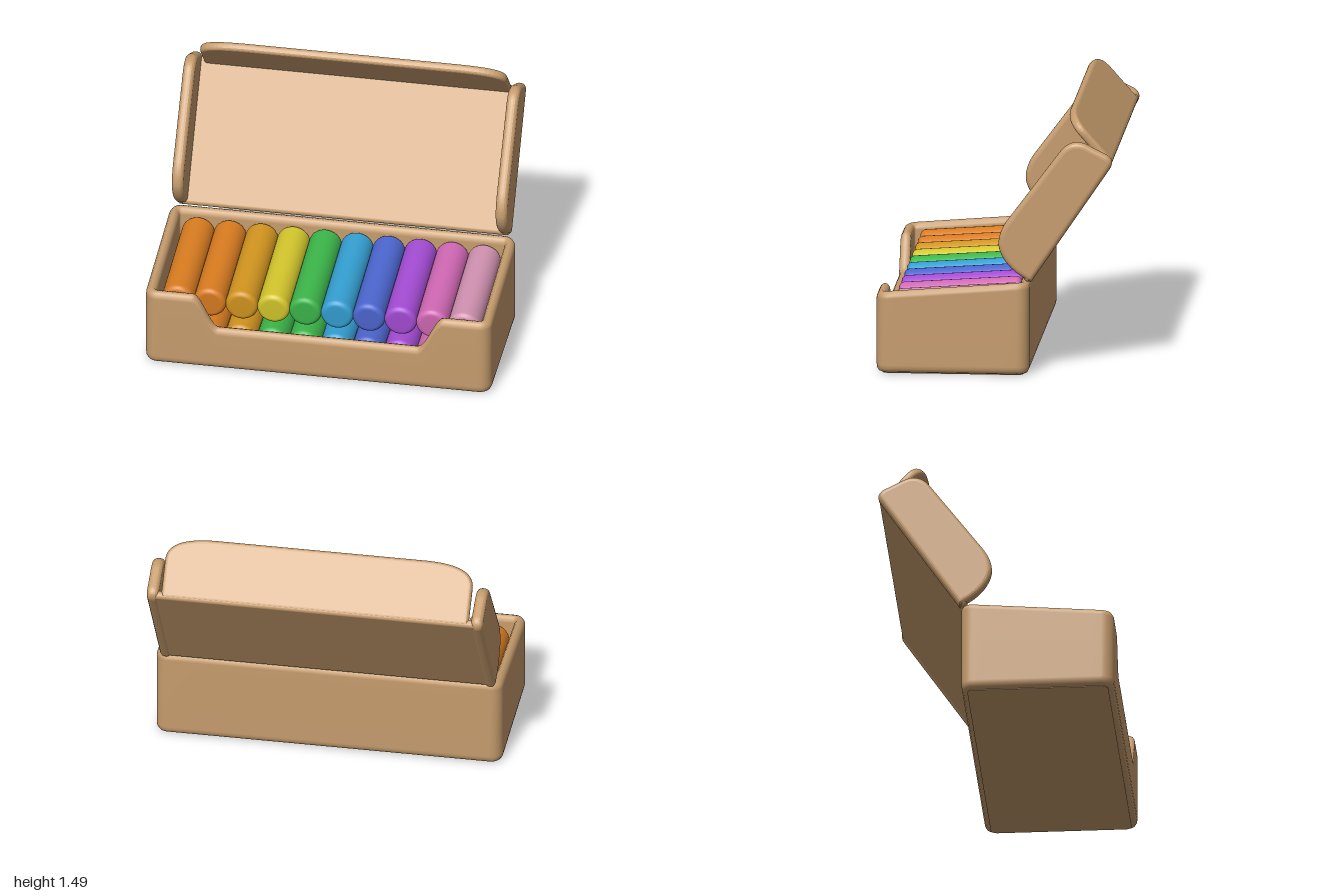
import * as THREE from 'three';
import { RoundedBoxGeometry } from 'three/addons/geometries/RoundedBoxGeometry.js';

const material = (name, color) => {
  const m = new THREE.MeshStandardMaterial({ color });
  m.name = name;
  return m;
};

const X = 0.998, Z0 = -0.2, Z1 = 0.67, R = 0.07;

// Rounded rectangle outline of the tray, counter-clockwise seen from below, as [x, z]
function outline(inset) {
  const r = R - inset, cx = X - R, points = [];
  const corners = [[cx, Z1 - R, 0], [-cx, Z1 - R, 1], [-cx, Z0 + R, 2], [cx, Z0 + R, 3]];
  corners.forEach(([x, z, q], i) => {
    const arc = (a) => [Math.cos(a) * r, Math.sin(a) * r];
    for (let k = 0; k <= 6; k++) {
      const [dx, dz] = arc((q + k / 6) * Math.PI / 2);
      points.push([x + dx, z + dz]);
    }
    // straight run to the next corner, dense enough for the front cut-out
    const [nx, nz] = corners[(i + 1) % 4];
    const [dx, dz] = arc((q + 1) * Math.PI / 2);
    const steps = i === 0 ? 120 : 12;
    for (let k = 1; k < steps; k++) {
      const t = k / steps;
      points.push([x + (nx - x) * t + dx, z + (nz - z) * t + dz]);
    }
  });
  return points;
}

// Rim height: slopes up to the back, with a dip in the front wall
function rimHeight(x, z) {
  const y = 0.47 + 0.07 * (Z1 - z) / (Z1 - Z0);
  if (z < 0.55) return y;
  return 0.268 + (y - 0.268) * THREE.MathUtils.smoothstep(Math.abs(x), 0.575, 0.725);
}

// Wall section swept round the outline: [inset, y, measured from rim]
function trayWalls() {
  const section = [[0.035, 0.003, 0], [0.012, 0.012, 0], [0.002, 0.03, 0], [0, 0.05, 0], [0, -0.04, 1],
    [0.002, -0.025, 1], [0.012, -0.008, 1], [0.03, 0, 1], [0.048, -0.008, 1], [0.058, -0.025, 1],
    [0.06, -0.04, 1], [0.06, 0.03, 0]];
  const pos = [], index = [];
  let n = 0;
  section.forEach(([inset, y, fromRim]) => {
    const ring = outline(inset);
    n = ring.length;
    ring.forEach(([x, z]) => pos.push(x, fromRim ? rimHeight(x, z) + y : y, z));
  });
  for (let s = 0; s < section.length - 1; s++) {
    for (let i = 0; i < n; i++) {
      const j = (i + 1) % n, a = s * n + i, b = s * n + j;
      index.push(a, a + n, b, b, a + n, b + n);
    }
  }
  const g = new THREE.BufferGeometry();
  g.setAttribute('position', new THREE.Float32BufferAttribute(pos, 3));
  g.setIndex(index);
  g.computeVertexNormals();
  return g;
}

// Bar with softened ends, axis along z, centred
function barGeometry(radius, length) {
  const h = length / 2, f = 0.03, profile = [new THREE.Vector2(0, -h)];
  for (const end of [-1, 1]) {
    for (let k = 0; k <= 5; k++) {
      const a = (end < 0 ? k : 5 - k) / 5 * Math.PI / 2;
      profile.push(new THREE.Vector2(radius - f + Math.sin(a) * f, end * (h - f + Math.cos(a) * f)));
    }
  }
  profile.push(new THREE.Vector2(0, h));
  return new THREE.LatheGeometry(profile, 32).rotateX(Math.PI / 2);
}

// Plate with rounded edges; the shape is the final outline
function plate(shape, thickness, bevel) {
  return new THREE.ExtrudeGeometry(shape, {
    depth: thickness - 2 * bevel, bevelThickness: bevel, bevelSize: bevel,
    bevelOffset: -bevel, bevelSegments: 4, curveSegments: 12,
  }).translate(0, 0, bevel);
}

export function createModel() {
  const model = new THREE.Group();
  const add = (parent, name, geometry, mat) => {
    const mesh = new THREE.Mesh(geometry, mat);
    mesh.name = name;
    parent.add(mesh);
    return mesh;
  };

  const cardboard = material('cardboard', 0xc69c6d);
  const orange = material('orange', 0xd97c20);
  const amber = material('amber', 0xd2951f);
  const yellow = material('yellow', 0xd4c62c);
  const green = material('green', 0x3cb64a);
  const sky = material('sky blue', 0x349fd2);
  const blue = material('blue', 0x4c66cf);
  const purple = material('purple', 0xa44cd4);
  const pink = material('pink', 0xd068b4);
  const rose = material('rose', 0xd091b0);

  // Tray
  const tray = new THREE.Group();
  tray.name = 'tray';
  model.add(tray);
  add(tray, 'trayWalls', trayWalls(), cardboard);
  const floorShape = new THREE.Shape(outline(0.034).map(([x, z]) => new THREE.Vector2(x, -z)));
  const floor = new THREE.ExtrudeGeometry(floorShape, { depth: 0.045, bevelEnabled: false });
  add(tray, 'trayFloor', floor.rotateX(-Math.PI / 2), cardboard);

  // Two layers of coloured bars
  const bars = new THREE.Group();
  bars.name = 'bars';
  model.add(bars);
  const upper = [orange, orange, amber, yellow, green, sky, blue, purple, pink, rose];
  const lower = [orange, orange, amber, green, green, sky, blue, purple, pink, rose];
  const bar = barGeometry(0.094, 0.7);
  for (let i = 0; i < 10; i++) {
    const x = -0.825 + i * 0.1833;
    const top = add(bars, 'upperBar', bar, upper[i]);
    top.position.set(x, 0.39, 0.212);
    top.rotation.x = 0.07;
    add(bars, 'lowerBar', bar, lower[i]).position.set(x, 0.165, 0.25);
  }

  // Lid, hinged on the back wall and leaning backwards
  const lid = new THREE.Group();
  lid.name = 'lid';
  model.add(lid);
  const panel = add(lid, 'lidPanel', new RoundedBoxGeometry(1.92, 0.85, 0.05, 4, 0.022).translate(0, 0.425, 0.025), cardboard);
  panel.position.set(0, 0.53, -0.2);
  panel.rotation.x = -0.594;

  // Side flaps, outlined in z and y
  const side = new THREE.Shape();
  side.moveTo(-0.21, 0.535);
  side.lineTo(-0.17, 0.56);
  side.bezierCurveTo(-0.08, 0.61, -0.03, 0.69, -0.025, 0.75);
  side.bezierCurveTo(-0.025, 0.8, -0.04, 0.84, -0.07, 0.885);
  side.lineTo(-0.38, 1.3);
  side.bezierCurveTo(-0.42, 1.35, -0.47, 1.36, -0.52, 1.34);
  side.lineTo(-0.64, 1.28);
  side.quadraticCurveTo(-0.69, 1.25, -0.66, 1.2);
  side.closePath();
  const flap = plate(side, 0.068, 0.028).rotateY(-Math.PI / 2);
  add(lid, 'leftFlap', flap, cardboard).position.x = 0.968;
  add(lid, 'rightFlap', flap, cardboard).position.x = -0.9;

  // Front flap of the lid, folded forwards at its top edge
  const tuck = new THREE.Shape();
  tuck.moveTo(-0.885, 0);
  tuck.lineTo(0.885, 0);
  tuck.lineTo(0.885, 0.22);
  tuck.bezierCurveTo(0.885, 0.31, 0.8, 0.35, 0.62, 0.355);
  tuck.lineTo(-0.62, 0.355);
  tuck.bezierCurveTo(-0.8, 0.35, -0.885, 0.31, -0.885, 0.22);
  const tuckFlap = add(lid, 'tuckFlap', plate(tuck, 0.05, 0.02), cardboard);
  tuckFlap.position.set(0, 1.235, -0.672);
  tuckFlap.rotation.x = 0.724;

  return model;
}
